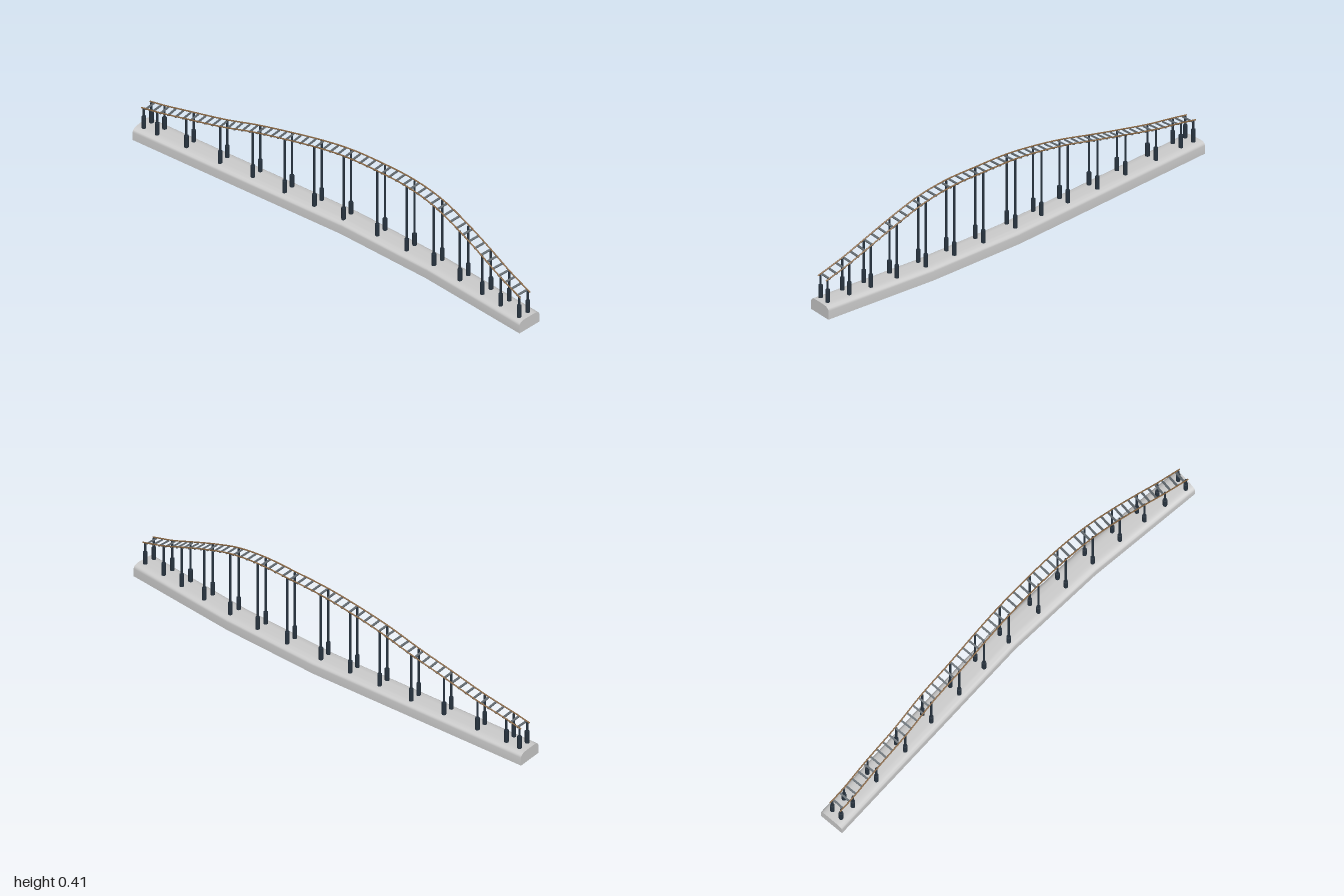
import * as THREE from 'three';
import { toCreasedNormals } from 'three/addons/utils/BufferGeometryUtils.js';

const UP = new THREE.Vector3(0, 1, 0);
const stone = new THREE.MeshStandardMaterial({ color: 0xcccccc, side: THREE.DoubleSide });
const steel = new THREE.MeshStandardMaterial({ color: 0x27333f });
const rust = new THREE.MeshStandardMaterial({ color: 0x8a6844, side: THREE.DoubleSide });
const tieGrey = new THREE.MeshStandardMaterial({ color: 0x626a70 });

// Level vector pointing sideways from a direction of travel
const sideOf = (t) => new THREE.Vector3(t.z, 0, -t.x).normalize();

// Track centre line: x, height, z above each pair of posts
const stations = [
  [-0.463, 0.166, -0.944], [-0.43, 0.18, -0.879], [-0.353, 0.211, -0.745],
  [-0.267, 0.254, -0.584], [-0.18, 0.3, -0.434], [-0.1, 0.343, -0.279],
  [-0.023, 0.375, -0.139], [0.052, 0.397, 0], [0.137, 0.404, 0.166],
  [0.208, 0.402, 0.316], [0.272, 0.377, 0.461], [0.33, 0.322, 0.606],
  [0.378, 0.263, 0.735], [0.416, 0.212, 0.842], [0.455, 0.17, 0.95],
].map((p) => new THREE.Vector3(...p));

// Extend the line slightly past the first and last posts
const extend = (a, b, d) => a.clone().add(a.clone().sub(b).setLength(d));
const n = stations.length;
const track = new THREE.CatmullRomCurve3([
  extend(stations[0], stations[1], 0.011), ...stations,
  extend(stations[n - 1], stations[n - 2], 0.011),
]);

// Plinth: a round-shouldered section swept along a bent centre line
function plinthGeometry() {
  const half = 0.0605;
  const shape = new THREE.Shape();
  shape.moveTo(-half, 0);
  shape.lineTo(half, 0);
  shape.lineTo(half, 0.04);
  shape.quadraticCurveTo(half, 0.06, 0.022, 0.06);
  shape.lineTo(-0.022, 0.06);
  shape.quadraticCurveTo(-half, 0.06, -half, 0.04);
  const section = shape.getPoints(6);
  const path = [[-0.48, -0.974], [0.06, 0.005], [0.265, 0.445], [0.472, 0.974]]
    .map(([x, z]) => new THREE.Vector3(x, 0, z));

  const rings = path.map((p, i) => {
    const before = p.clone().sub(path[Math.max(i - 1, 0)]).normalize();
    const after = path[Math.min(i + 1, path.length - 1)].clone().sub(p).normalize();
    const side = sideOf(before.add(after));
    return section.map((s) => p.clone().addScaledVector(side, s.x).addScaledVector(UP, s.y));
  });
  const pos = [];
  const tri = (...corners) => corners.forEach((c) => pos.push(c.x, c.y, c.z));
  const last = rings.length - 1;
  for (let j = 0; j < section.length; j++) {
    const k = (j + 1) % section.length;
    for (let i = 0; i < last; i++) {
      tri(rings[i][j], rings[i][k], rings[i + 1][k]);
      tri(rings[i][j], rings[i + 1][k], rings[i + 1][j]);
    }
    // end caps
    if (j > 0 && k > 0) {
      tri(rings[0][0], rings[0][k], rings[0][j]);
      tri(rings[last][0], rings[last][j], rings[last][k]);
    }
  }
  const g = new THREE.BufferGeometry();
  g.setAttribute('position', new THREE.Float32BufferAttribute(pos, 3));
  return toCreasedNormals(g, 0.4);
}

export function createModel() {
  const model = new THREE.Group();
  const add = (parent, geometry, material, name) => {
    const mesh = new THREE.Mesh(geometry, material);
    mesh.name = name;
    parent.add(mesh);
    return mesh;
  };

  add(model, plinthGeometry(), stone, 'plinth');

  // Paired posts, each standing in a thicker footing
  const posts = new THREE.Group();
  posts.name = 'posts';
  model.add(posts);
  const footing = new THREE.CylinderGeometry(0.01, 0.01, 0.064, 12);
  const shaft = new THREE.CylinderGeometry(0.0052, 0.0052, 1, 10);
  stations.forEach((p, i) => {
    const side = sideOf(track.getTangent((i + 1) / (n + 1)));
    for (const s of [-1, 1]) {
      const foot = p.clone().addScaledVector(side, s * 0.0255);
      add(posts, footing, steel, 'footing').position.set(foot.x, 0.088, foot.z);
      const post = add(posts, shaft, steel, 'post');
      const height = p.y - 0.003 - 0.06;
      post.scale.y = height;
      post.position.set(foot.x, 0.06 + height / 2, foot.z);
    }
  });

  // Two rails following the centre line
  for (const s of [-1, 1]) {
    const points = [];
    for (let i = 0; i <= 60; i++) {
      const u = i / 60;
      points.push(track.getPointAt(u).addScaledVector(sideOf(track.getTangentAt(u)), s * 0.029));
    }
    const rail = new THREE.TubeGeometry(new THREE.CatmullRomCurve3(points), 120, 0.0032, 8);
    add(model, rail, rust, s < 0 ? 'rightRail' : 'leftRail');
  }

  // Cross ties just beneath the rails
  const ties = new THREE.Group();
  ties.name = 'crossTies';
  model.add(ties);
  const tie = new THREE.BoxGeometry(0.058, 0.005, 0.009);
  const count = 54;
  for (let i = 0; i < count; i++) {
    const u = (i + 0.5) / count;
    const along = track.getTangentAt(u);
    const side = sideOf(along);
    const normal = along.clone().cross(side);
    const mesh = add(ties, tie, tieGrey, 'crossTie');
    mesh.quaternion.setFromRotationMatrix(new THREE.Matrix4().makeBasis(side, normal, along));
    mesh.position.copy(track.getPointAt(u)).addScaledVector(normal, -0.005);
  }
  return model;
}
